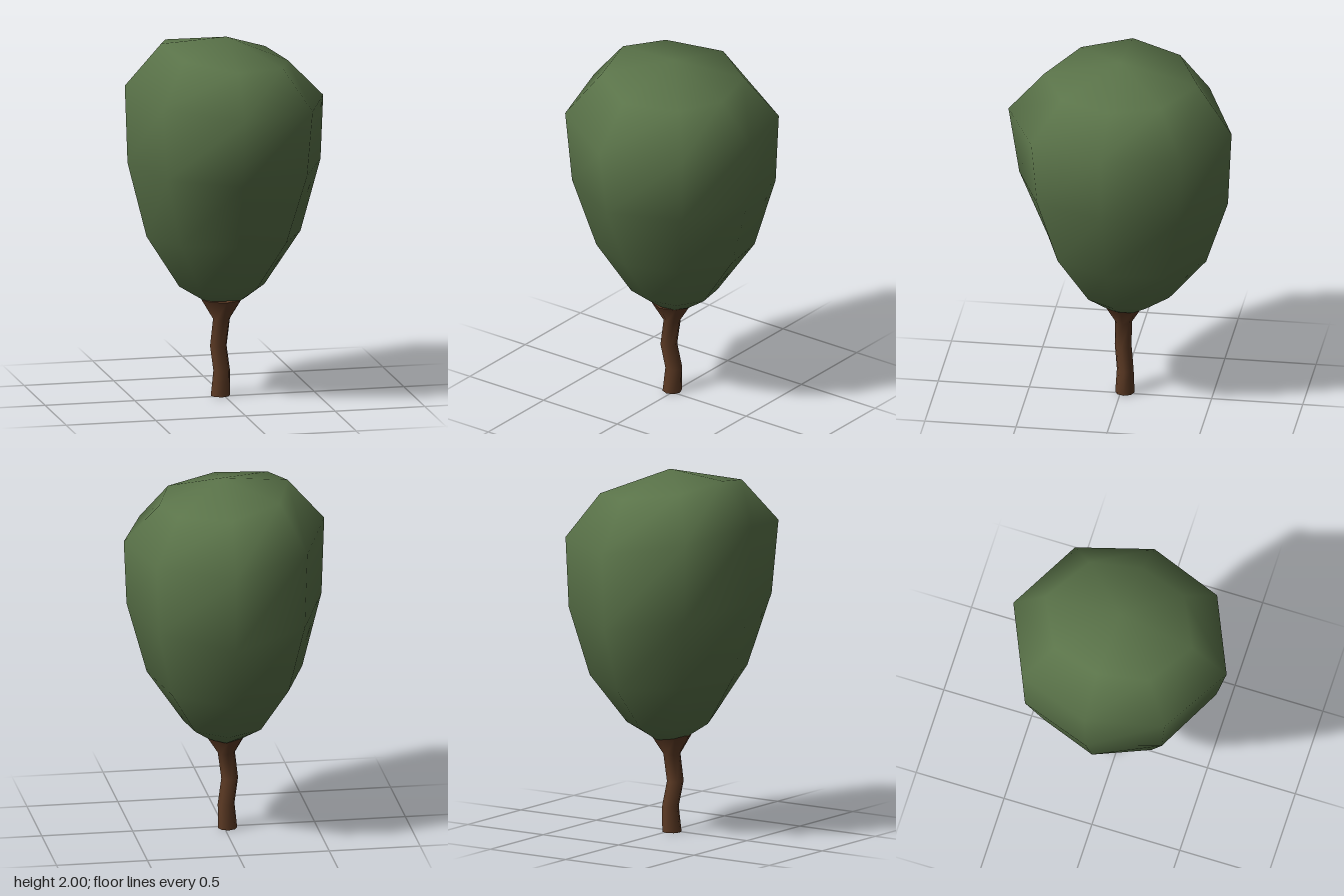
import * as THREE from 'three';
import { toCreasedNormals } from 'three/addons/utils/BufferGeometryUtils.js';

const SIDES = 8;

// Skin rings of points (bottom to top), closed by a point at each end.
function loft(rings, bottom, top) {
  const points = [...rings.flat(), bottom, top];
  const index = [];
  const last = (rings.length - 1) * SIDES;
  const low = rings.length * SIDES;
  for (let i = 0; i < SIDES; i++) {
    const n = (i + 1) % SIDES;
    for (let r = 0; r < last; r += SIDES) {
      index.push(r + i, r + SIDES + i, r + n);
      index.push(r + n, r + SIDES + i, r + SIDES + n);
    }
    index.push(low, i, n, last + i, low + 1, last + n);
  }
  const geometry = new THREE.BufferGeometry();
  geometry.setAttribute('position', new THREE.Float32BufferAttribute(points.flat(), 3));
  geometry.setIndex(index);
  geometry.computeVertexNormals();
  return geometry;
}

// Tilted crown ring from [reach, height] at +x, +z, -x and -z; diagonals are averaged.
function crownRing(quarters) {
  return Array.from({ length: SIDES }, (_, i) => {
    const a = quarters[Math.floor(i / 2)];
    const b = quarters[Math.ceil(i / 2) % 4];
    const reach = (a[0] + b[0]) / 2;
    const angle = (i / SIDES) * Math.PI * 2 + 0.05;
    return [Math.cos(angle) * reach, (a[1] + b[1]) / 2, Math.sin(angle) * reach];
  });
}

function trunkRing([x, y, z, radius]) {
  return Array.from({ length: SIDES }, (_, i) => {
    const angle = (i / SIDES) * Math.PI * 2;
    return [x + Math.cos(angle) * radius, y, z + Math.sin(angle) * radius];
  });
}

function part(name, geometry, color) {
  const mesh = new THREE.Mesh(geometry, new THREE.MeshStandardMaterial({ color }));
  mesh.name = name;
  return mesh;
}

export function createModel() {
  const group = new THREE.Group();
  group.name = 'tree';

  // Leafy crown: broad near the top, tapering to the trunk
  const crown = [
    [[0.11, 0.54], [0.10, 0.55], [0.12, 0.54], [0.13, 0.52]],
    [[0.22, 0.615], [0.20, 0.625], [0.25, 0.62], [0.27, 0.60]],
    [[0.42, 0.905], [0.40, 0.91], [0.43, 0.905], [0.475, 0.84]],
    [[0.53, 1.30], [0.56, 1.285], [0.535, 1.32], [0.595, 1.20]],
    [[0.545, 1.655], [0.62, 1.66], [0.55, 1.75], [0.615, 1.62]],
    [[0.35, 1.855], [0.42, 1.89], [0.35, 1.975], [0.43, 1.895]],
  ].map(crownRing);
  group.add(part('crown', loft(crown, [0, 0.53, -0.01], [0.01, 2, 0]), 0x5a7349));

  // Crooked trunk that flares under the crown: [x, y, z, radius]
  const trunk = [
    [-0.018, 0, -0.022, 0.053],
    [-0.01, 0.14, -0.025, 0.046],
    [-0.032, 0.28, -0.01, 0.046],
    [-0.013, 0.43, -0.015, 0.047],
    [-0.01, 0.54, -0.015, 0.115],
  ].map(trunkRing);
  const trunkShape = loft(trunk, [-0.018, 0, -0.022], [-0.01, 0.55, -0.015]);
  group.add(part('trunk', toCreasedNormals(trunkShape, 1.2), 0x5c3a24));

  return group;
}
